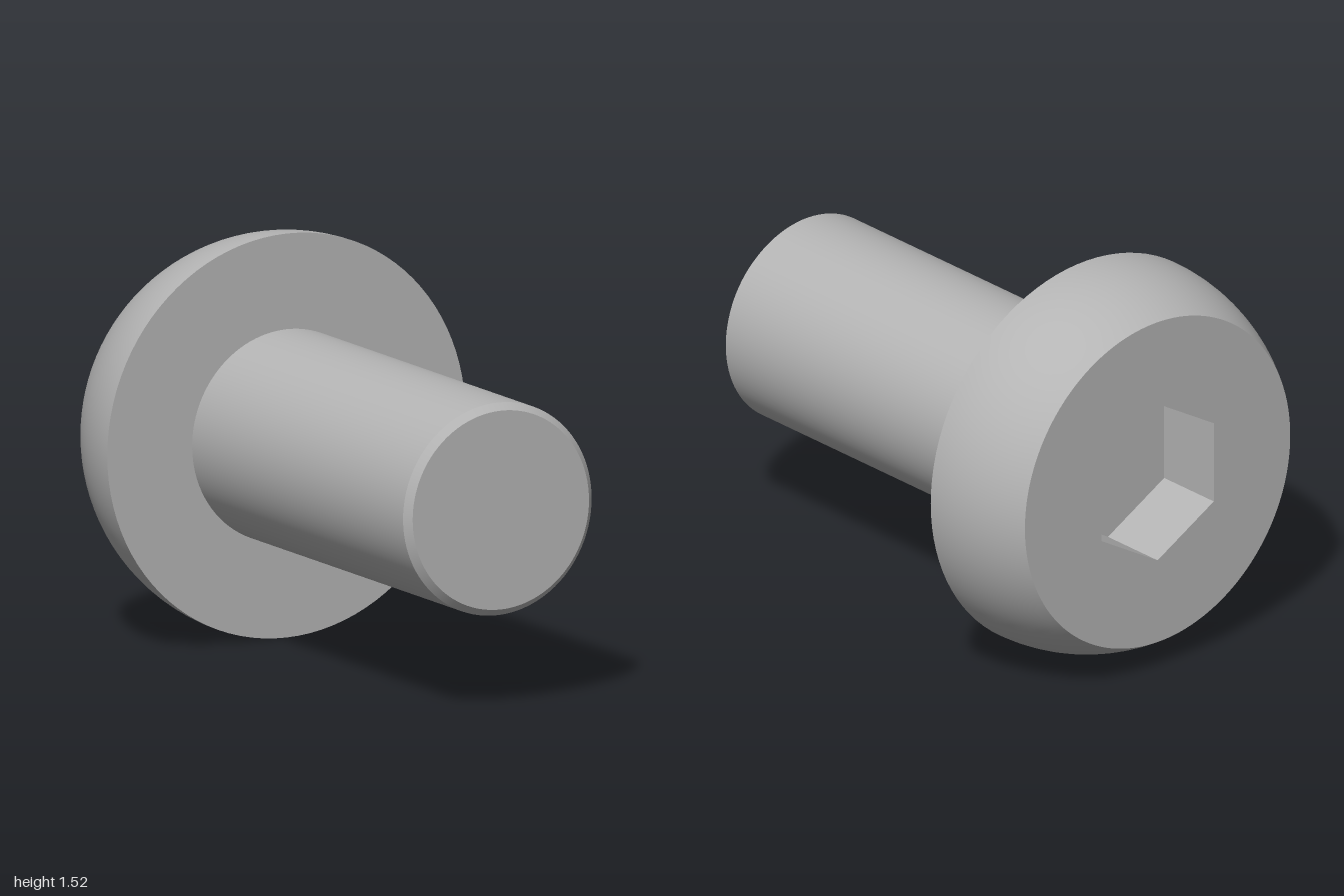
import * as THREE from 'three';
import { mergeGeometries } from 'three/addons/utils/BufferGeometryUtils.js';

const HEAD_R = 0.76, SHANK_R = 0.4, CHAMFER = 0.026;
const HEAD_Z = -0.6, BACK_Z = -1, FRONT_Z = 1;
const SOCKET_R = 0.316, SOCKET_Z = -0.72;
const SEGMENTS = 96;

// Revolve [radius, z] points about the z axis
function revolve(points, segments = SEGMENTS) {
  const profile = points.map(([r, z]) => new THREE.Vector2(r, z));
  return new THREE.LatheGeometry(profile, segments).rotateX(Math.PI / 2);
}

// Each pair of points becomes its own band, so the edges between stay sharp
function revolveSharp(points) {
  const bands = [];
  for (let i = 1; i < points.length; i++) bands.push(revolve([points[i - 1], points[i]]));
  return mergeGeometries(bands);
}

export function createModel() {
  const steel = new THREE.MeshStandardMaterial({ color: 0xb4b4b4 });
  steel.name = 'steel grey';

  const bolt = new THREE.Group();
  bolt.name = 'buttonHeadBolt';
  const add = (name, geometry) => {
    const mesh = new THREE.Mesh(geometry, steel);
    mesh.name = name;
    bolt.add(mesh);
  };

  // Domed side of the head: a band of a sphere
  const height = HEAD_Z - BACK_Z;
  const arc = [];
  for (let i = 0; i <= 16; i++) {
    const a = Math.asin(height / HEAD_R) * (1 - i / 16);
    arc.push([HEAD_R * Math.cos(a), HEAD_Z - HEAD_R * Math.sin(a)]);
  }
  add('headDome', revolve(arc));
  add('headUnderside', revolve([[HEAD_R, HEAD_Z], [SHANK_R, HEAD_Z]]));

  // Flat end of the head with a hexagonal opening
  const face = new THREE.Shape().absarc(0, 0, arc[0][0], 0, Math.PI * 2);
  const hexagon = [];
  for (let i = 0; i < 6; i++) {
    const a = i * Math.PI / 3;
    hexagon.push(new THREE.Vector2(SOCKET_R * Math.sin(a), SOCKET_R * Math.cos(a)));
  }
  face.holes.push(new THREE.Path(hexagon));
  add('headFace', new THREE.ShapeGeometry(face, SEGMENTS).rotateY(Math.PI).translate(0, 0, BACK_Z));

  // Hexagonal socket: floor and six flat walls
  const socket = revolve([[0, SOCKET_Z], [SOCKET_R, SOCKET_Z], [SOCKET_R, BACK_Z]], 6).toNonIndexed();
  socket.computeVertexNormals();
  add('hexSocket', socket);

  // Shank with a chamfered tip
  add('shank', revolveSharp([
    [SHANK_R, HEAD_Z],
    [SHANK_R, FRONT_Z - CHAMFER],
    [SHANK_R - CHAMFER, FRONT_Z],
    [0, FRONT_Z],
  ]));

  bolt.position.y = HEAD_R;
  const model = new THREE.Group();
  model.name = 'bolt';
  model.add(bolt);
  return model;
}
